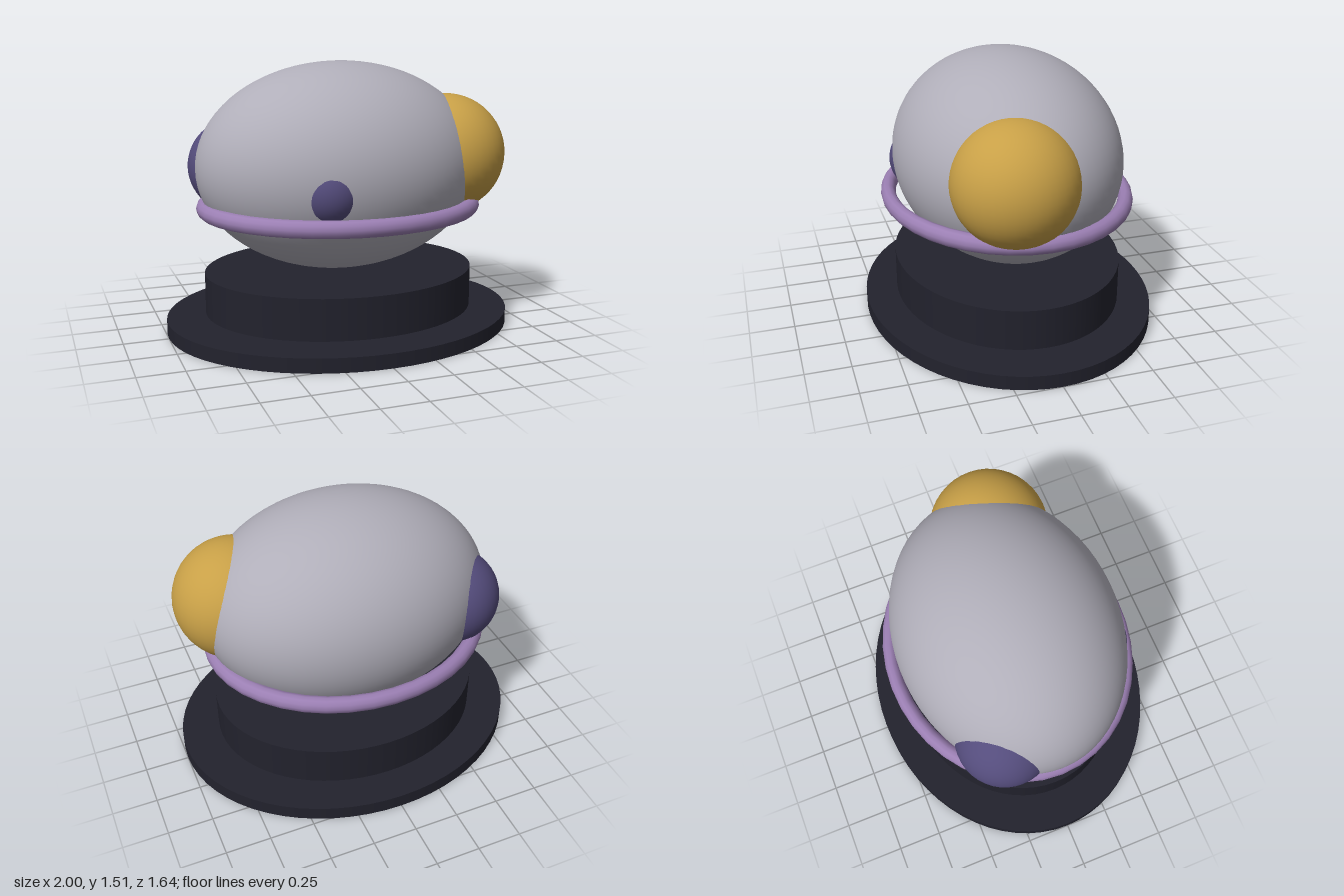
import * as THREE from 'three';

const paint = (name, color) => {
  const m = new THREE.MeshStandardMaterial({ color });
  m.name = name;
  return m;
};

export function createModel() {
  const group = new THREE.Group();
  const grey = paint('stone grey', 0xb0aeb9);
  const gold = paint('gold', 0xc8a047);
  const indigo = paint('indigo', 0x544c7c);
  const lilac = paint('lilac', 0x9b7fb3);
  const dark = paint('dark base', 0x22222d);

  const add = (name, geometry, material, x, y, z) => {
    const mesh = new THREE.Mesh(geometry, material);
    mesh.name = name;
    mesh.position.set(x, y, z);
    group.add(mesh);
    return mesh;
  };

  // Oval base: two separate discs, the upper one floating just above the lower
  const disc = (name, rx, rz, bottom, top) =>
    add(name, new THREE.CylinderGeometry(1, 1, top - bottom, 64), dark, 0, (bottom + top) / 2, 0)
      .scale.set(rx, 1, rz);
  disc('basePlate', 1, 0.82, 0, 0.08);
  disc('plinth', 0.78, 0.64, 0.1, 0.33);

  // Egg-shaped body
  add('body', new THREE.SphereGeometry(1, 64, 40), grey, 0, 0.925, 0)
    .scale.set(0.82, 0.585, 0.63);

  // Oval ring around the lower body
  const ring = new THREE.TorusGeometry(0.77, 0.048, 12, 40).rotateX(Math.PI / 2);
  add('ring', ring, lilac, 0, 0.7, 0).scale.z = 0.865;

  // Round bulges emerging from the body
  const bulge = (name, r, material, x, y, z) =>
    add(name, new THREE.SphereGeometry(r, 40, 28), material, x, y, z);
  bulge('goldBulge', 0.34, gold, 0.6, 0.98, 0.13);
  bulge('backBulge', 0.27, indigo, -0.55, 0.91, -0.235);
  bulge('frontBulge', 0.19, indigo, -0.21, 0.86, 0.435);

  return group;
}
